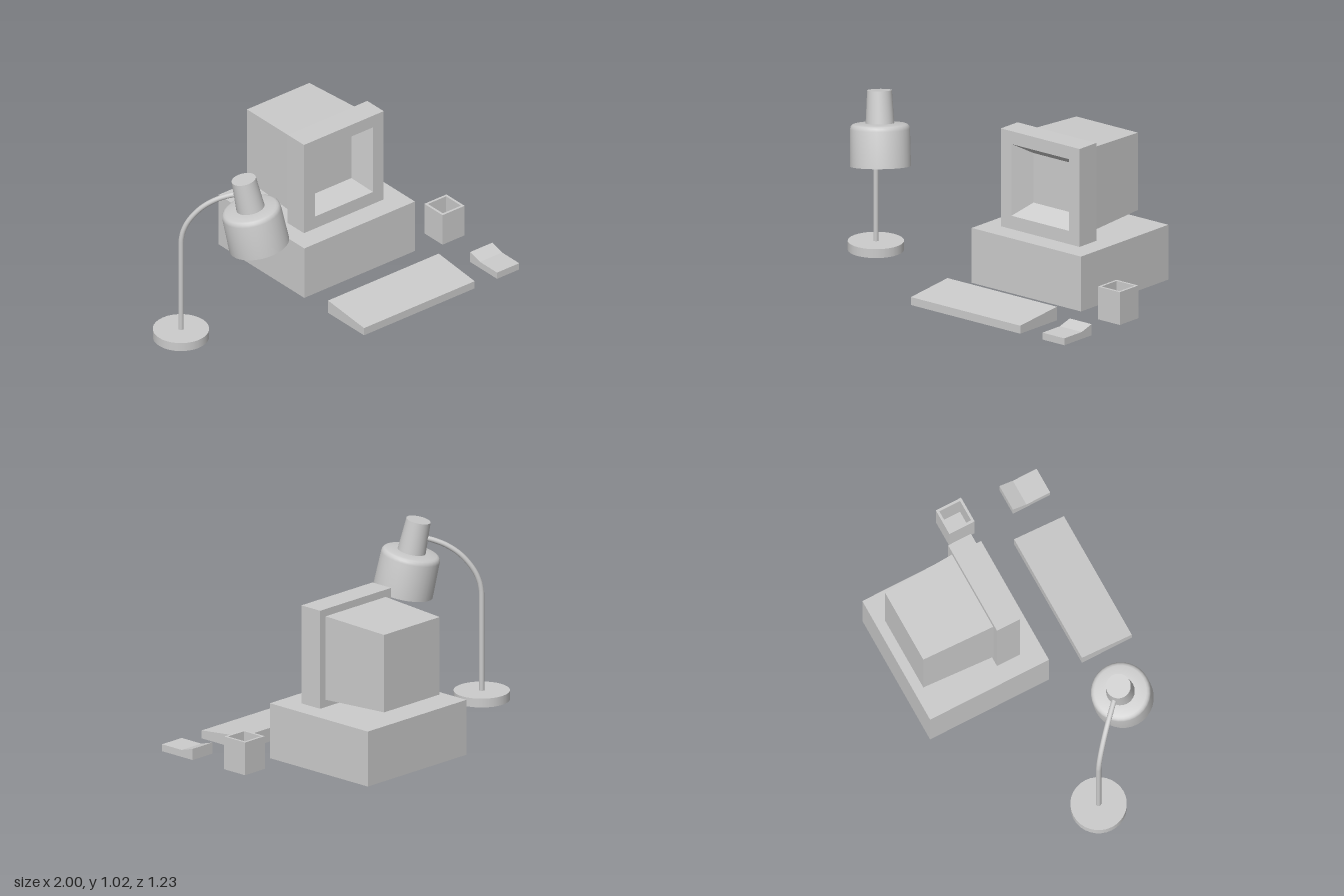
import * as THREE from 'three';
import { toCreasedNormals } from 'three/addons/utils/BufferGeometryUtils.js';

const grey = new THREE.MeshStandardMaterial({ color: 0xcccccc });

function part(name, geometry, parent) {
  const mesh = new THREE.Mesh(geometry, grey);
  mesh.name = name;
  parent.add(mesh);
  return mesh;
}

// Box given by its limits on each axis
function boxBetween(x0, x1, y0, y1, z0, z1) {
  return new THREE.BoxGeometry(x1 - x0, y1 - y0, z1 - z0)
    .translate((x0 + x1) / 2, (y0 + y1) / 2, (z0 + z1) / 2);
}

// Flat-shaded skin through rectangles [x0, x1, y0, y1, z], closed at both ends
function loftRects(rects) {
  const rings = rects.map(([x0, x1, y0, y1, z]) =>
    [[x0, y0, z], [x1, y0, z], [x1, y1, z], [x0, y1, z]]);
  const pos = [];
  const quad = (a, b, c, d) => pos.push(...a, ...b, ...c, ...a, ...c, ...d);
  const first = rings[0], last = rings[rings.length - 1];
  quad(first[3], first[2], first[1], first[0]);
  for (let r = 0; r < rings.length - 1; r++) {
    for (let i = 0; i < 4; i++) {
      const j = (i + 1) % 4;
      quad(rings[r][i], rings[r][j], rings[r + 1][j], rings[r + 1][i]);
    }
  }
  quad(...last);
  const g = new THREE.BufferGeometry();
  g.setAttribute('position', new THREE.Float32BufferAttribute(pos, 3));
  g.computeVertexNormals();
  return g;
}

// Side profile in (z, y), extruded across x0..x1
function sideProfile(points, x0, x1) {
  const shape = new THREE.Shape(points.map(([z, y]) => new THREE.Vector2(z, y)));
  return new THREE.ExtrudeGeometry(shape, { depth: x1 - x0, bevelEnabled: false })
    .rotateY(-Math.PI / 2).translate(x1, 0, 0);
}

function createComputer() {
  const g = new THREE.Group();
  g.name = 'computer';
  part('systemUnit', boxBetween(-0.08, 0.69, 0, 0.31, -0.615, 0.11), g);

  // Front housing with a sloped recess down to the screen
  part('screenHousing', loftRects([
    [0.02, 0.575, 0.31, 0.863, -0.153],
    [0.02, 0.575, 0.31, 0.863, -0.014],
    [0.095, 0.5, 0.385, 0.79, -0.014],
    [0.16, 0.437, 0.447, 0.727, -0.12],
  ]), g);

  // Tapered rear housing
  part('rearHousing', loftRects([
    [0.081, 0.515, 0.368, 0.805, -0.57],
    [0.063, 0.532, 0.351, 0.822, -0.153],
  ]), g);
  return g;
}

function createLamp() {
  const g = new THREE.Group();
  g.name = 'lamp';
  part('lampBase', new THREE.CylinderGeometry(0.152, 0.152, 0.05, 32), g)
    .position.set(-0.848, 0.025, 0);

  // Stem rises straight, then bends diagonally forward: [offset along x and z, height]
  const bend = [[0, 0.6], [0.008, 0.66], [0.03, 0.73], [0.079, 0.815],
    [0.134, 0.87], [0.185, 0.9], [0.215, 0.912]];
  const path = new THREE.CurvePath();
  const pts = bend.map(([d, y]) => new THREE.Vector3(-0.848 + d, y, d));
  path.add(new THREE.LineCurve3(new THREE.Vector3(-0.848, 0.04, 0), pts[0]));
  path.add(new THREE.CatmullRomCurve3(pts));
  part('lampStem', new THREE.TubeGeometry(path, 48, 0.0145, 12), g);

  // Tilted head: wide shade with a rounded shoulder, tapered cap above
  const head = new THREE.Group();
  head.name = 'lampHead';
  const turned = (profile) => toCreasedNormals(new THREE.LatheGeometry(
    profile.map(([r, y]) => new THREE.Vector2(r, y)), 32), 0.6);
  part('lampShade', turned([[0, 0], [0.165, 0], [0.162, 0.2], [0.159, 0.214],
    [0.151, 0.224], [0.14, 0.228], [0.08, 0.232], [0, 0.232]]), head);
  part('lampCap', turned([[0, 0.22], [0.078, 0.22], [0.067, 0.41], [0, 0.41]]), head);
  const axis = new THREE.Vector3(-0.058, 0.402, -0.061).normalize();
  head.quaternion.setFromUnitVectors(new THREE.Vector3(0, 1, 0), axis);
  head.position.set(-0.556, 0.609, 0.307);
  g.add(head);
  return g;
}

export function createModel() {
  const model = new THREE.Group();
  model.name = 'deskSet';
  model.add(createComputer(), createLamp());

  // Wedge-shaped keyboard
  part('keyboard', sideProfile(
    [[0.615, 0], [0.615, 0.045], [0.311, 0.077], [0.311, 0]], -0.08, 0.69), model);

  // Mouse, rising toward the back
  part('mouse', sideProfile(
    [[0.615, 0], [0.615, 0.039], [0.47, 0.039], [0.388, 0.063], [0.388, 0]], 0.846, 1), model);

  // Square open cup
  const o = 0.077, i = 0.063;
  part('penCup', loftRects([
    [-o, o, -o, o, 0], [-o, o, -o, o, 0.185],
    [-i, i, -i, i, 0.185], [-i, i, -i, i, 0.015],
  ]).rotateX(-Math.PI / 2), model).position.set(0.923, 0, 0.077);

  return model;
}
